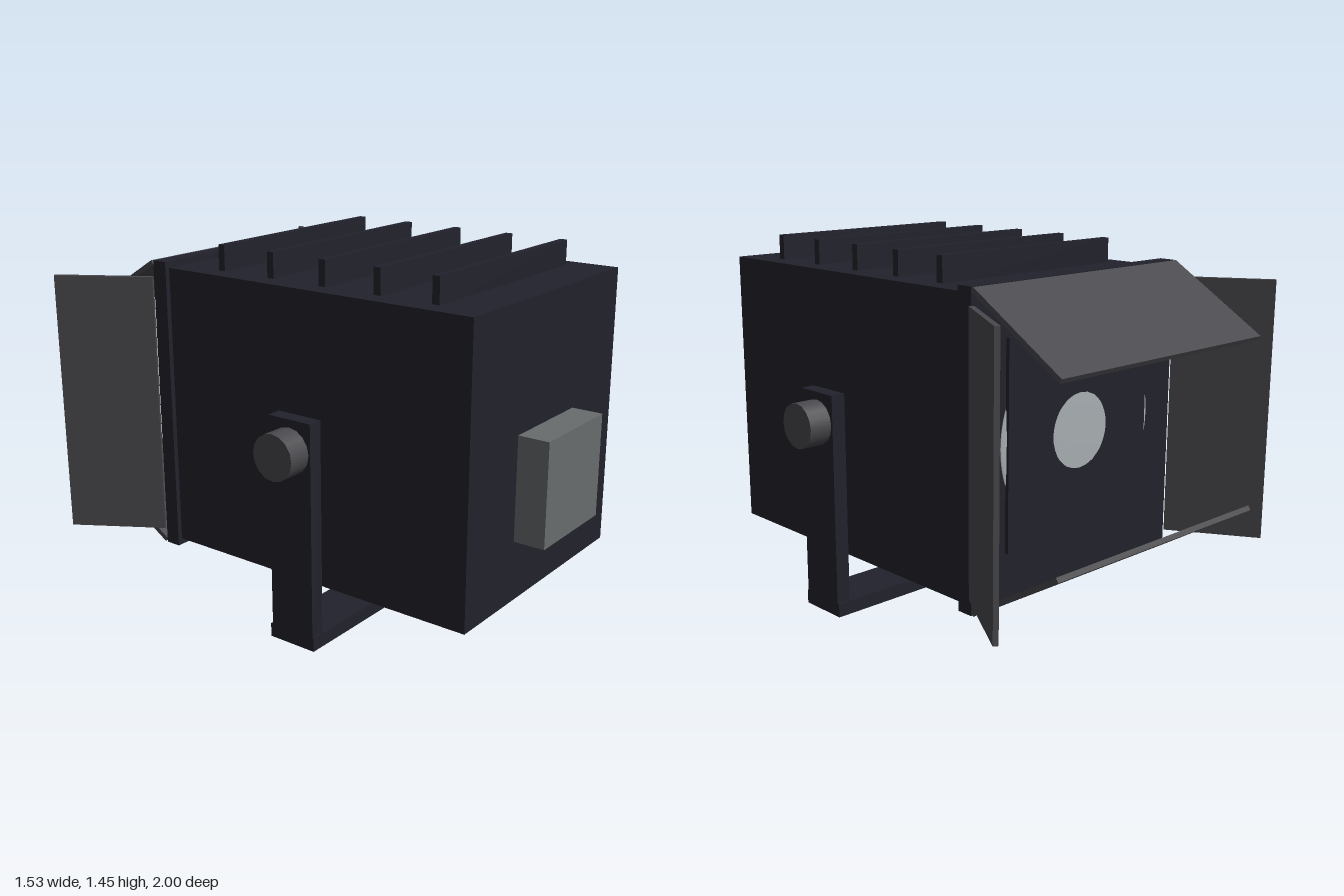
import * as THREE from 'three';

export function createModel() {
  const model = new THREE.Group();
  model.name = 'studioLight';

  const paint = (name, color) => {
    const m = new THREE.MeshStandardMaterial({ color });
    m.name = name;
    return m;
  };
  const housing = paint('housingBlack', 0x22222c);
  const darkMetal = paint('darkMetal', 0x4a494d);
  const greyMetal = paint('greyMetal', 0x686c6e);
  const glass = paint('lensGlass', 0xaab0b4);

  const add = (name, geometry, material, x, y, z) => {
    const mesh = new THREE.Mesh(geometry, material);
    mesh.name = name;
    mesh.position.set(x, y, z);
    model.add(mesh);
    return mesh;
  };
  // Box given by its lower and upper limits on each axis
  const box = (name, material, [x0, x1], [y0, y1], [z0, z1]) =>
    add(name, new THREE.BoxGeometry(x1 - x0, y1 - y0, z1 - z0), material,
      (x0 + x1) / 2, (y0 + y1) / 2, (z0 + z1) / 2);

  // Lamp housing and the frame around its opening
  box('housing', housing, [-0.53, 0.53], [0.21, 1.35], [-0.515, 0.875]);
  box('lensFrame', housing, [-0.55, 0.55], [0.185, 1.375], [-0.575, -0.51]);

  // Cooling fins
  for (let i = 0; i < 5; i++) {
    const z = 0.675 - i * 0.245;
    box('coolingFin', housing, [-0.45, 0.45], [1.34, 1.45], [z - 0.015, z + 0.015]);
  }

  // Square lens plate with a flat, domed lens that just breaks its surfaces
  box('lensPlate', housing, [-0.38, 0.38], [0.38, 1.18], [-0.59, -0.56]);
  const lens = add('lens', new THREE.SphereGeometry(1, 64, 48), glass, 0, 0.78, -0.575);
  lens.scale.set(0.407, 0.407, 0.0161);

  // Power box and the cable grip below the housing
  box('powerBox', greyMetal, [-0.205, 0.205], [0.45, 0.86], [0.87, 1.0]);
  const grip = add('cableGrip', new THREE.CylinderGeometry(0.046, 0.046, 0.16, 12), greyMetal, 0, 0.165, 0.675);
  grip.rotation.z = Math.PI / 2;

  // Mounting yoke with a knob on each arm
  box('yokeBase', housing, [-0.65, 0.65], [0, 0.055], [0.08, 0.29]);
  for (const s of [-1, 1]) {
    add('yokeArm', new THREE.BoxGeometry(0.06, 0.87, 0.195), housing, s * 0.62, 0.465, 0.187);
    const knob = add('tiltKnob', new THREE.CylinderGeometry(0.09, 0.09, 0.1, 16), darkMetal, s * 0.695, 0.78, 0.187);
    knob.rotation.z = Math.PI / 2;
  }

  // Barn doors: flared at the sides, folded inward at top and bottom
  const thickness = 0.02;
  for (const s of [-1, 1]) {
    const side = add('sideBarnDoor', new THREE.BoxGeometry(thickness, 1.06, 0.395), darkMetal, s * 0.655, 0.78, -0.748);
    side.rotation.y = -s * Math.atan2(0.205, 0.333);

    const flap = add(s > 0 ? 'topBarnDoor' : 'bottomBarnDoor',
      new THREE.BoxGeometry(1.1, thickness, 0.48), darkMetal, 0, 0.78 + s * 0.461, -0.786);
    flap.rotation.x = -s * Math.atan2(0.25, 0.41);
  }

  return model;
}
